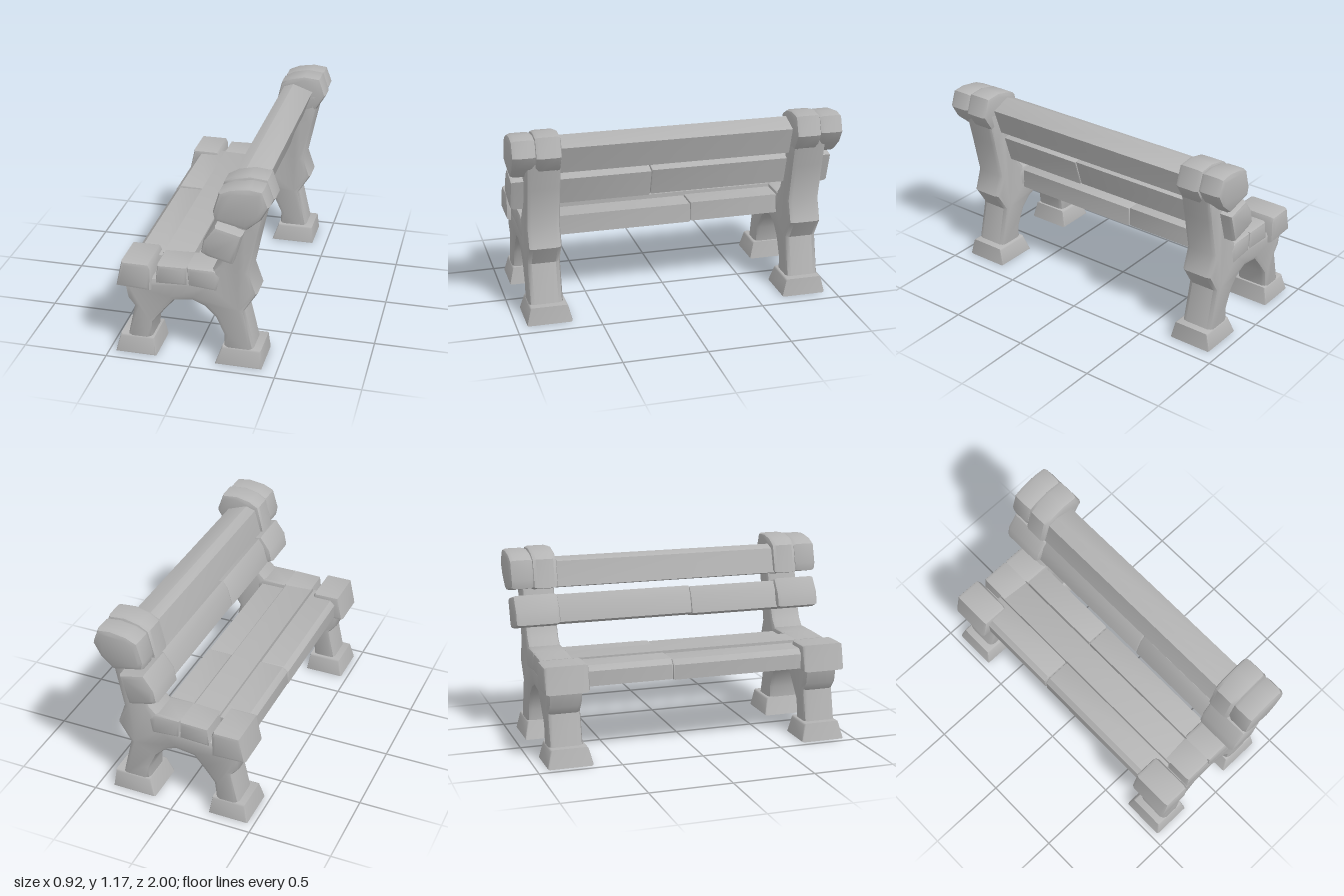
import * as THREE from 'three';
import { toCreasedNormals } from 'three/addons/utils/BufferGeometryUtils.js';

const stone = new THREE.MeshStandardMaterial({ color: 0xb4b4b4 });
stone.name = 'weathered grey';

// Side profile (x, y) swept from z0 to z1 with softened edges that stay inside the profile
function block(name, profile, z0, z1, bevel = 0.025, crease = 0.75) {
  const shape = new THREE.Shape(profile.map(([x, y]) => new THREE.Vector2(x, y)));
  const geo = new THREE.ExtrudeGeometry(shape, {
    depth: z1 - z0 - 2 * bevel, bevelEnabled: true, bevelSegments: 2,
    bevelThickness: bevel, bevelSize: bevel, bevelOffset: -bevel,
  });
  geo.translate(0, 0, z0 + bevel);
  const mesh = new THREE.Mesh(toCreasedNormals(geo, crease), stone);
  mesh.name = name;
  return mesh;
}

// Foot: rounded block flaring towards the ground
function foot(name, x0, x1, z0, z1, lean) {
  const p = [[x0, 0], [x1, 0], [x1, 0.11], [x0, 0.11]];
  const mesh = block(name, p, z0, z1, 0.012);
  const pos = mesh.geometry.attributes.position;
  const cx = (x0 + x1) / 2, cz = (z0 + z1) / 2;
  for (let i = 0; i < pos.count; i++) {
    const t = pos.getY(i) / 0.11;
    pos.setX(i, cx + (pos.getX(i) - cx) * (1 - 0.17 * t) + lean * t);
    pos.setZ(i, cz + (pos.getZ(i) - cz) * (1 - 0.2 * t));
  }
  mesh.geometry = toCreasedNormals(mesh.geometry, 0.75);
  return mesh;
}

const frameProfile = [
  [-0.4, 0.07], [-0.35, 0.3], [-0.39, 0.35], [-0.41, 0.46], [-0.25, 0.5], [0.08, 0.52],
  [0.11, 0.59], [0.16, 0.64], [0.2, 0.74], [0.24, 0.9], [0.28, 1.07], [0.43, 1.07],
  [0.38, 0.84], [0.33, 0.6], [0.375, 0.47], [0.3, 0.35], [0.365, 0.07], [0.18, 0.07],
  [0.18, 0.18], [0.13, 0.29], [0.07, 0.35], [0, 0.38], [-0.11, 0.365], [-0.165, 0.3],
  [-0.235, 0.21], [-0.25, 0.07],
];
// Outer and inner halves of the crown at the top of each post
const outerCrown = [
  [0.14, 1.0], [0.175, 1.12], [0.24, 1.15], [0.34, 1.165], [0.42, 1.155],
  [0.455, 1.06], [0.41, 0.98], [0.33, 0.91], [0.15, 0.95],
];
const innerCrown = [
  [0.13, 0.95], [0.17, 1.12], [0.23, 1.155], [0.32, 1.175], [0.42, 1.165], [0.46, 1.05],
  [0.4, 0.95], [0.3, 0.91],
];
const backLug = [[0.07, 0.74], [0.085, 0.82], [0.15, 0.91], [0.305, 0.87], [0.25, 0.685], [0.11, 0.72]];
const seatLugs = [
  ['frontSeatLug', [[-0.445, 0.44], [-0.41, 0.6], [-0.25, 0.6], [-0.235, 0.57], [-0.24, 0.43]], 0.67, 0.94],
  ['middleSeatLug', [[-0.22, 0.47], [-0.205, 0.59], [-0.03, 0.595], [-0.025, 0.475]], 0.7, 0.915],
  ['rearSeatLug', [[-0.025, 0.475], [-0.03, 0.595], [0.13, 0.595], [0.17, 0.56], [0.15, 0.46]], 0.7, 0.915],
];

// Slats: profile and the z position of the crack across each
const slats = [
  ['frontSeatSlat', [[-0.39, 0.46], [-0.39, 0.55], [-0.36, 0.58], [-0.215, 0.58], [-0.215, 0.46]], -0.15],
  ['middleSeatSlat', [[-0.21, 0.47], [-0.21, 0.59], [-0.035, 0.59], [-0.035, 0.47]], null],
  ['rearSeatSlat', [[-0.02, 0.455], [-0.02, 0.575], [0.13, 0.575], [0.13, 0.455]], -0.145],
  ['lowerBackSlat', [[0.1, 0.74], [0.13, 0.85], [0.165, 0.9], [0.29, 0.865], [0.24, 0.7], [0.13, 0.72]], 0.14],
  ['upperBackSlat', [[0.15, 0.95], [0.19, 1.1], [0.25, 1.12], [0.375, 1.075], [0.32, 0.91]], null],
];

export function createModel() {
  const bench = new THREE.Group();
  bench.name = 'bench';

  // End frames, mirrored along the length
  for (const [side, s] of [['near', 1], ['far', -1]]) {
    const end = new THREE.Group();
    end.name = side + 'EndFrame';
    const add = (name, profile, a, b, bevel) =>
      end.add(block(name, profile, Math.min(s * a, s * b), Math.max(s * a, s * b), bevel));

    add('legsAndPost', frameProfile, 0.705, 0.91, 0.03);
    add('outerCrown', outerCrown, 0.85, 1.0, 0.028);
    add('innerCrown', innerCrown, 0.705, 0.862, 0.025);
    add('backLug', backLug, 0.71, 0.99, 0.025);
    for (const [name, profile, a, b] of seatLugs) add(name, profile, a, b, 0.022);
    const z0 = Math.min(s * 0.66, s * 0.94), z1 = Math.max(s * 0.66, s * 0.94);
    end.add(foot('frontFoot', -0.46, -0.215, z0, z1, 0.005));
    end.add(foot('rearFoot', 0.135, 0.41, z0, z1, 0.015));
    bench.add(end);
  }

  // Slats, cracked ones built as two abutting lengths
  for (const [name, profile, crack] of slats) {
    const cuts = crack === null ? [-0.76, 0.76] : [-0.76, crack, 0.76];
    for (let i = 0; i + 1 < cuts.length; i++) {
      const shifted = profile.map(([x, y]) => [x, y - 0.006 * i]);
      bench.add(block(name, shifted, cuts[i], cuts[i + 1], 0.01));
    }
  }
  return bench;
}
